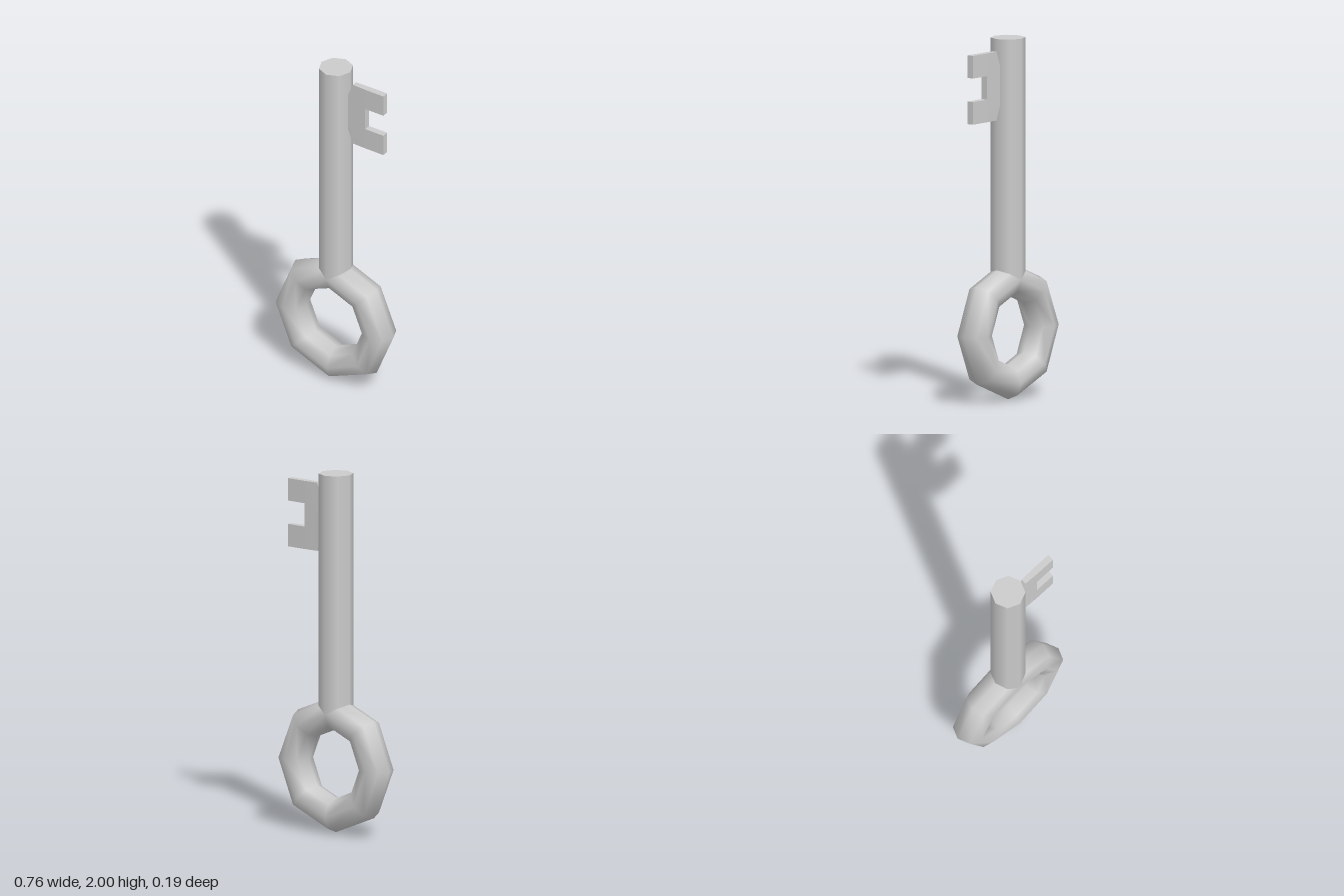
import * as THREE from 'three';

export function createModel() {
  const group = new THREE.Group();
  const material = new THREE.MeshStandardMaterial({ color: 0xcccccc });
  const add = (name, geometry, x, y, z) => {
    const mesh = new THREE.Mesh(geometry, material);
    mesh.name = name;
    mesh.position.set(x, y, z);
    group.add(mesh);
  };

  // Eight-sided ring handle, standing upright
  add('ringHandle', new THREE.TorusGeometry(0.286, 0.095, 8, 8), 0, 0.381, 0);

  // Octagonal shaft, its lower end sunk into the ring
  const bottom = 0.67;
  add('shaft', new THREE.CylinderGeometry(0.095, 0.095, 2 - bottom, 8), 0, (2 + bottom) / 2, 0);

  // Bit with two teeth: upper half of the outline, mirrored about its middle height
  const middle = 1.745;
  const half = [[0.07, 0.065], [0.12, 0.19], [0.205, 0.19], [0.325, 0.19], [0.325, 0.065], [0.205, 0.065]];
  const outline = [
    ...half.map(([x, y]) => new THREE.Vector2(x, y)),
    ...half.map(([x, y]) => new THREE.Vector2(x, -y)).reverse(),
  ];
  const bit = new THREE.ExtrudeGeometry(new THREE.Shape(outline), { depth: 2, bevelEnabled: false });
  bit.translate(0, 0, -1);

  // Thin the plate slightly towards the shaft
  const pos = bit.attributes.position;
  for (let i = 0; i < pos.count; i++) {
    const t = THREE.MathUtils.clamp((pos.getX(i) - 0.09) / 0.115, 0, 1);
    pos.setZ(i, pos.getZ(i) * THREE.MathUtils.lerp(0.0145, 0.019, t));
  }
  bit.computeVertexNormals();
  add('bit', bit, 0, middle, -0.002);

  return group;
}
